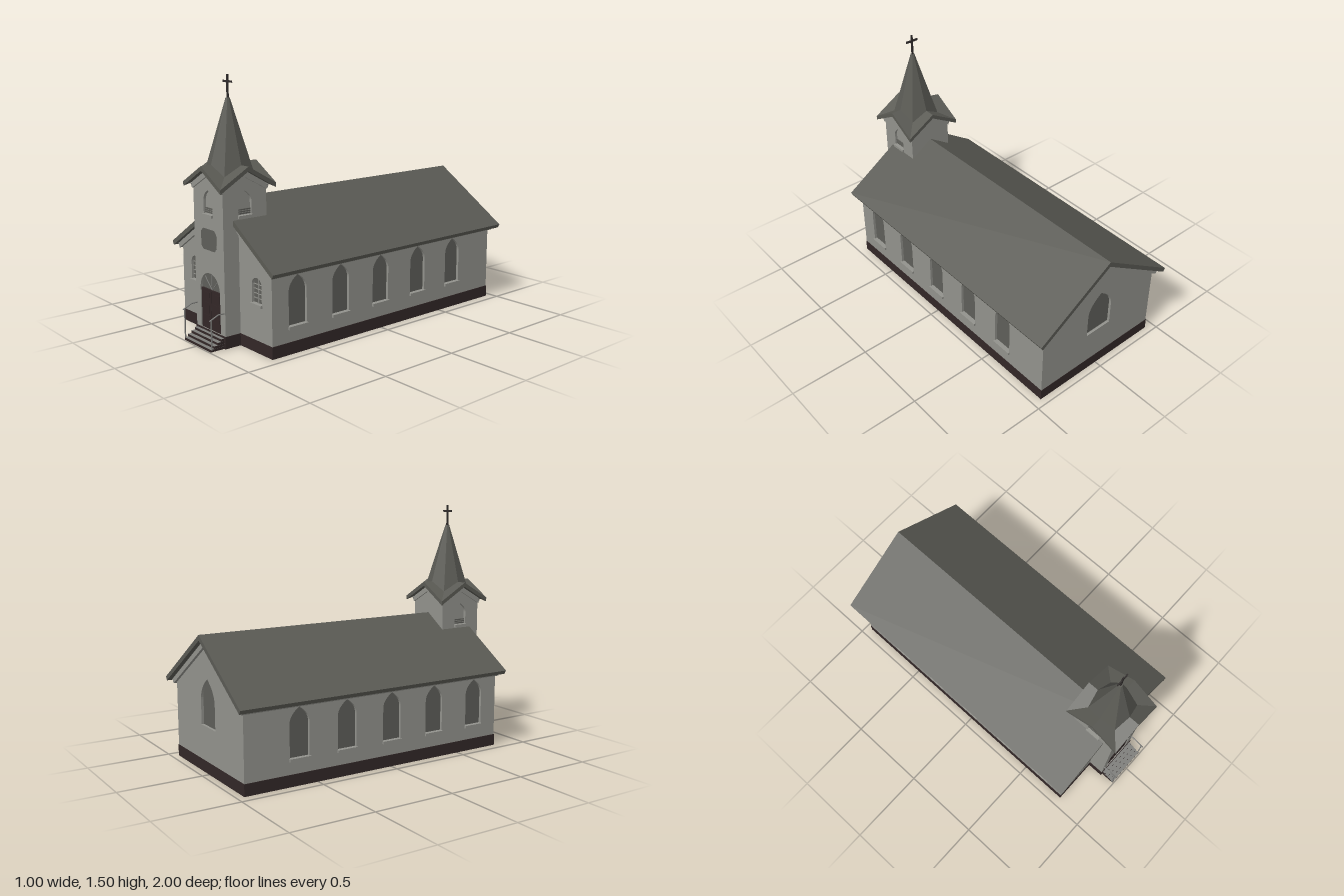
import * as THREE from 'three';

const mat = (name, color) => Object.assign(new THREE.MeshStandardMaterial({ color }), { name });

export function createModel() {
  const wallMat = mat('pale stone', 0x92928c), roofMat = mat('slate', 0x5a5a54), baseMat = mat('dark brown', 0x322727);
  const glassMat = mat('window grey', 0x5e5e59), greyMat = mat('mid grey', 0x7d7d7a), darkMat = mat('dark metal', 0x302c2b);
  glassMat.side = THREE.DoubleSide;
  const SLOPE = 0.65, TOWER_SLOPE = 0.58, TZ = 0.755, TW = 0.145;
  const model = new THREE.Group();
  model.name = 'church';

  const add = (parent, name, geo, m) => {
    const mesh = new THREE.Mesh(geo, m);
    mesh.name = name;
    parent.add(mesh);
    return mesh;
  };
  // box given by its limits
  const box = (parent, name, m, x0, x1, y0, y1, z0, z1) => {
    const b = add(parent, name, new THREE.BoxGeometry(x1 - x0, y1 - y0, z1 - z0), m);
    b.position.set((x0 + x1) / 2, (y0 + y1) / 2, (z0 + z1) / 2);
    return b;
  };
  const poly = pts => new THREE.Shape(pts.map(p => new THREE.Vector2(...p)));
  const extrude = (shape, z0, z1) =>
    new THREE.ExtrudeGeometry(shape, { depth: z1 - z0, bevelEnabled: false, curveSegments: 10 }).translate(0, 0, z0);
  // inverted V band used for roofs and gable trim
  const chevron = (slope, top, half, t, z0, z1) => {
    const e = top - slope * half, dx = t * 0.45;
    return extrude(poly([[0, top], [-half, e], [-half + dx, e - t * 0.85], [0, top - t * 1.19],
      [half - dx, e - t * 0.85], [half, e]]), z0, z1);
  };
  // arched outline: pointed or round
  const arch = (cx, w, y0, spring, top, pointed) => {
    const s = new THREE.Shape(), h = w / 2, cy = spring + (top - spring) * 0.55;
    s.moveTo(cx - h, y0);
    s.lineTo(cx + h, y0);
    s.lineTo(cx + h, spring);
    if (pointed) {
      s.quadraticCurveTo(cx + h, cy, cx, top);
      s.quadraticCurveTo(cx - h, cy, cx - h, spring);
    } else s.absellipse(cx, spring, h, top - spring, 0, Math.PI, false);
    s.closePath();
    return s;
  };
  // wall panel facing local +z, outer face at z = 0, with openings cut through
  const wall = (name, pts, openings, x, z, turn) => {
    const g = new THREE.Group();
    g.name = name;
    const shape = poly(pts);
    for (const o of openings) {
      const hole = arch(...o.arch);
      shape.holes.push(hole);
      add(g, 'pane', new THREE.ShapeGeometry(hole, 10).translate(0, 0, -0.016), o.mat || glassMat);
      const [cx, w, y0] = o.arch;
      if (!o.noSill) box(g, 'sill', wallMat, cx - w / 2 - 0.004, cx + w / 2 + 0.004, y0 - 0.016, y0, -0.02, 0.012);
    }
    add(g, 'panel', extrude(shape, -0.02, 0), wallMat);
    g.position.set(x, 0, z);
    g.rotation.y = turn;
    model.add(g);
    return g;
  };

  // plinth, grey underneath
  const plinthMats = [baseMat, baseMat, baseMat, greyMat, baseMat, baseMat];
  box(model, 'navePlinth', plinthMats, -0.443, 0.443, 0, 0.07, -0.957, 0.802);
  box(model, 'towerPlinth', plinthMats, -0.148, 0.148, 0, 0.07, 0.7, 0.904);

  // nave walls
  const gable = [[-0.44, 0.06], [0.44, 0.06], [0.44, 0.485], [0, 0.775], [-0.44, 0.485]];
  const front = wall('naveFrontWall', gable,
    [-0.305, 0.305].map(x => ({ arch: [x, 0.088, 0.28, 0.385, 0.425, false] })), 0, 0.8, 0);
  for (const x of [-0.305, 0.305]) {
    box(front, 'mullion', wallMat, x - 0.002, x + 0.002, 0.28, 0.422, -0.016, -0.01);
    for (let i = 0; i < 4; i++)
      box(front, 'glazingBar', wallMat, x - 0.043, x + 0.043, 0.305 + i * 0.026, 0.308 + i * 0.026, -0.016, -0.011);
  }
  wall('naveBackWall', gable, [{ arch: [0, 0.185, 0.275, 0.42, 0.555, true], noSill: true }], 0, -0.955, Math.PI);
  for (const s of [-1, 1]) {
    const a = s * 0.935, b = -s * 0.78;
    wall('naveSideWall', [[a, 0.06], [b, 0.06], [b, 0.485], [a, 0.485]],
      [0.625, 0.315, 0.005, -0.305, -0.615].map(z => ({ arch: [-s * z, 0.125, 0.16, 0.355, 0.445, true] })),
      s * 0.44, 0, s * Math.PI / 2);
  }

  // nave roof with pale cornice below
  add(model, 'naveRoof', chevron(SLOPE, 0.812, 0.5, 0.027, -1, 0.835), roofMat);
  add(model, 'naveCornice', chevron(SLOPE, 0.779, 0.468, 0.03, -0.972, 0.815), wallMat);

  // tower: four gabled walls
  const gableTop = 0.98, eave = gableTop - TOWER_SLOPE * TW;
  for (let i = 0; i < 4; i++) {
    const turn = i * Math.PI / 2, half = i % 2 ? TW - 0.0005 : TW;
    const pts = [[-half, 0.06], [half, 0.06], [half, eave], [0, gableTop], [-half, eave]];
    const openings = i === 2 ? [] : [{ arch: [0, 0.088, 0.74, 0.815, 0.875, true], mat: wallMat }];
    if (i === 0) openings.push({ arch: [0, 0.196, 0.07, 0.303, 0.403, false], noSill: true });
    const g = wall('towerWall', pts, openings, Math.sin(turn) * TW, TZ + Math.cos(turn) * TW, turn);
    add(g, 'gableTrim', chevron(TOWER_SLOPE, 0.988, 0.158, 0.032, -0.005, 0.01), wallMat);
    if (i !== 2) for (let k = 0; k < 3; k++)
      box(g, 'louverSlat', glassMat, -0.043, 0.043, 0.744 + k * 0.011, 0.751 + k * 0.011, -0.016, -0.009);
    if (i === 0) {
      // double doors, fanlight bars and the panel above
      for (const s of [-1, 1]) {
        box(g, 'doorLeaf', baseMat, s < 0 ? -0.097 : 0.002, s < 0 ? -0.002 : 0.097, 0.07, 0.303, -0.018, -0.006);
        for (const [y0, y1] of [[0.09, 0.15], [0.165, 0.225], [0.24, 0.285]])
          box(g, 'doorPanel', baseMat, s * 0.05 - 0.032, s * 0.05 + 0.032, y0, y1, -0.006, -0.004);
      }
      box(g, 'doorGap', darkMat, -0.002, 0.002, 0.07, 0.303, -0.018, -0.008);
      for (let k = 1; k < 4; k++) {
        const bar = add(g, 'fanlightBar', new THREE.BoxGeometry(0.003, 0.096, 0.004).translate(0, 0.05, 0), greyMat);
        bar.position.set(0, 0.303, -0.014);
        bar.rotation.z = (k - 2) * Math.PI / 4;
      }
      add(g, 'frontPanel', extrude(poly([[-0.075, 0.555], [-0.055, 0.535], [0.055, 0.535], [0.075, 0.555],
        [0.075, 0.635], [0.055, 0.655], [-0.055, 0.655], [-0.075, 0.635]]), 0, 0.0015), glassMat);
    }
  }

  // tower roof: four gabled wings meeting in valleys
  const R = 0.185, top = 1.012, low = top - TOWER_SLOPE * R, t = 0.026, v = [];
  const tri = (a, b, c) => v.push(...a, ...b, ...c);
  for (const s of [-1, 1]) {
    const P = [[0, top, 0], [0, top, R], [s * R, low, R]], Q = P.map(p => [p[0], p[1] - t, p[2]]);
    const face = (a, b, c) => (s > 0 ? tri(a, b, c) : tri(a, c, b));
    face(P[0], P[1], P[2]);
    face(Q[0], Q[2], Q[1]);
    face(P[1], Q[1], Q[2]);
    face(P[1], Q[2], P[2]);
  }
  const wing = new THREE.BufferGeometry();
  wing.setAttribute('position', new THREE.Float32BufferAttribute(v, 3));
  wing.computeVertexNormals();
  for (let i = 0; i < 4; i++) {
    const w = add(model, 'towerRoofWing', wing, roofMat);
    w.position.z = TZ;
    w.rotation.y = i * Math.PI / 2;
  }

  // eight-sided spire whose foot follows the gables
  let spire = new THREE.CylinderGeometry(0.012, 0.122, 1, 8, 1);
  const p = spire.attributes.position;
  for (let i = 0; i < p.count; i++) {
    const x = p.getX(i), z = p.getZ(i);
    if (p.getY(i) > 0) p.setY(i, 1.372);
    else if (Math.min(Math.abs(x), Math.abs(z)) > 0.02) p.setXYZ(i, Math.sign(x) * 0.102, 0.945, Math.sign(z) * 0.102);
    else p.setY(i, 1.0);
  }
  spire = spire.toNonIndexed();
  spire.computeVertexNormals();
  add(model, 'spire', spire, roofMat).position.z = TZ;

  // cross
  box(model, 'crossPost', darkMat, -0.006, 0.006, 1.36, 1.5, TZ - 0.004, TZ + 0.004);
  box(model, 'crossArm', darkMat, -0.042, 0.042, 1.455, 1.467, TZ - 0.004, TZ + 0.004);

  // front steps with pale treads
  for (let i = 0; i < 4; i++) {
    const y = 0.015 * (i + 1), z = 0.992 - i * 0.023;
    box(model, 'step', plinthMats, -0.135, 0.135, y - 0.015, y - 0.001, 0.89, z);
    box(model, 'tread', greyMat, -0.135, 0.135, y - 0.001, y, 0.89, z);
  }
  // handrails
  for (const s of [-1, 1]) {
    const x = s * 0.136;
    box(model, 'railPost', greyMat, x - 0.003, x + 0.003, 0.01, 0.18, 0.983, 0.989);
    const path = new THREE.CurvePath();
    const pts = [[0.998, 0.178], [0.94, 0.204], [0.9, 0.204]].map(([z, y]) => new THREE.Vector3(x, y, z));
    path.add(new THREE.LineCurve3(pts[0], pts[1]));
    path.add(new THREE.LineCurve3(pts[1], pts[2]));
    add(model, 'handrail', new THREE.TubeGeometry(path, 8, 0.004, 6), greyMat);
  }
  return model;
}
